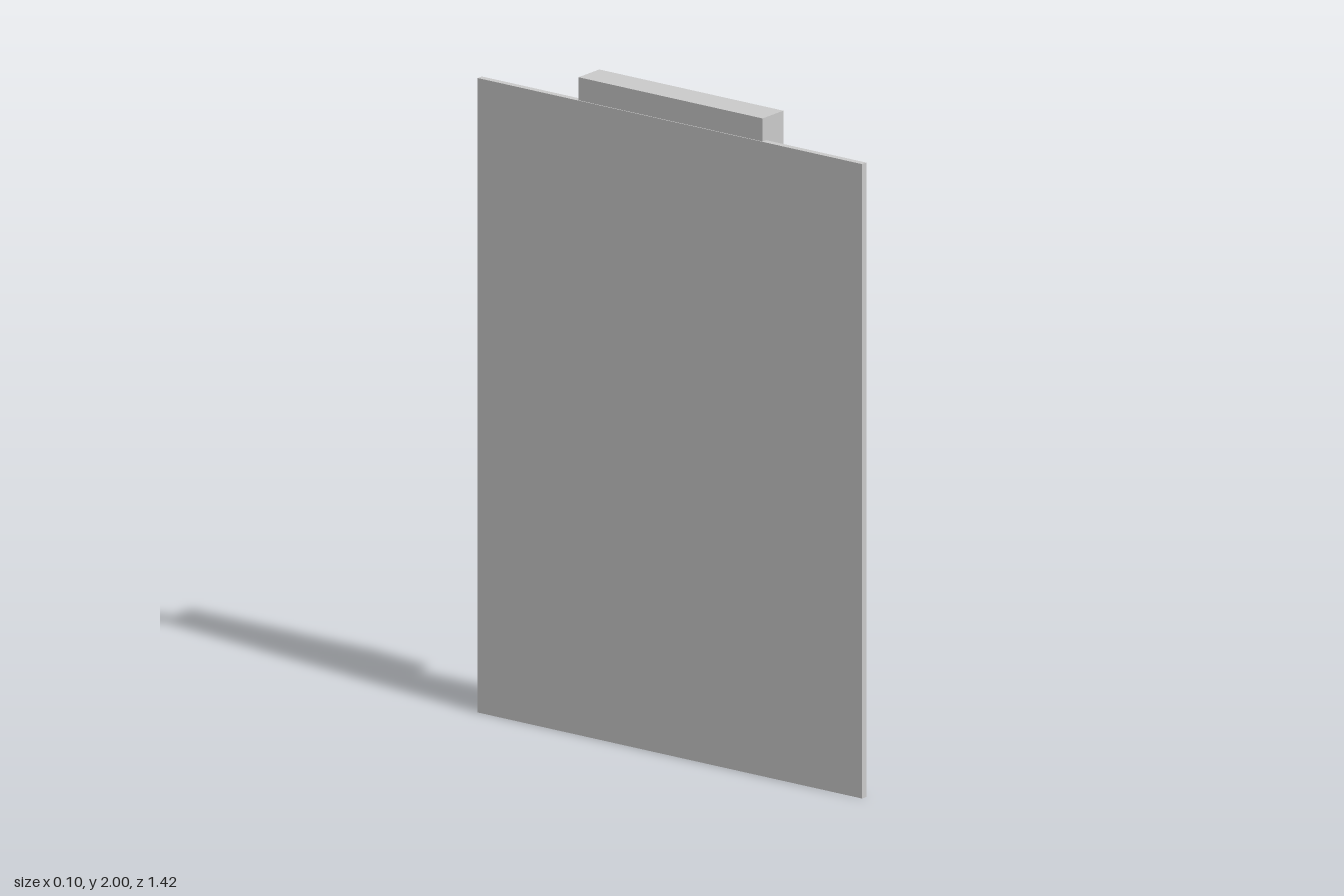
import * as THREE from 'three';

const material = new THREE.MeshStandardMaterial({ color: 0xcccccc, flatShading: true });

// Box given by its x and y ranges, centred on z
function slab(name, x0, x1, y0, y1, depth) {
  const mesh = new THREE.Mesh(new THREE.BoxGeometry(x1 - x0, y1 - y0, depth), material);
  mesh.position.set((x0 + x1) / 2, (y0 + y1) / 2, 0);
  mesh.name = name;
  return mesh;
}

export function createModel() {
  const group = new THREE.Group();
  group.name = 'clipboard';
  group.add(
    // Thin backing board, facing +x
    slab('board', -0.051, -0.031, 0, 1.93, 1.416),
    // Sheet lying on the board
    slab('paper', -0.031, -0.021, 0.095, 1.843, 1.29),
    // Chunky clip, sunk into the board and rising above its top edge
    slab('clip', -0.048, 0.051, 1.73, 2, 0.678),
  );
  return group;
}
